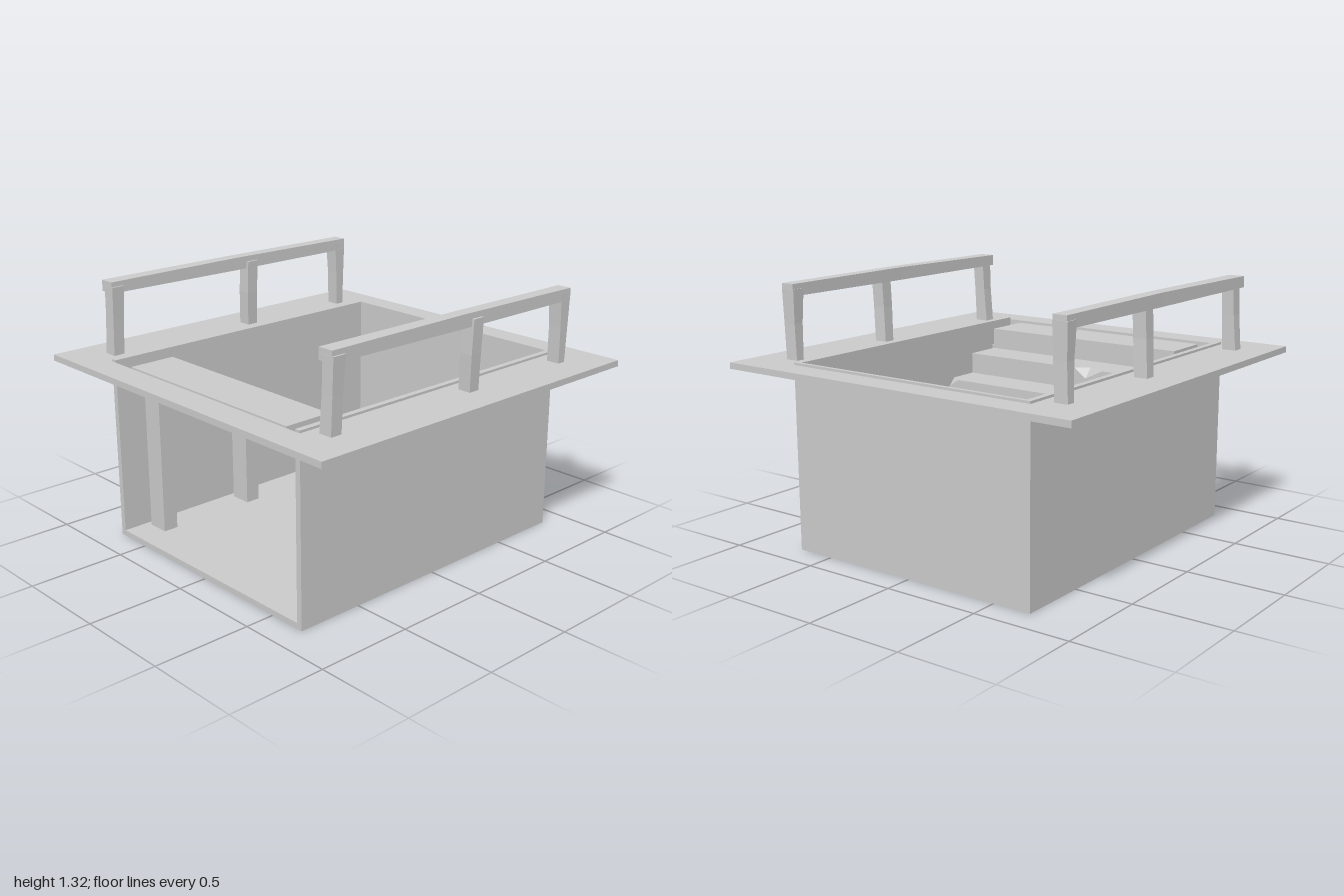
import * as THREE from 'three';

// Joins rings of [x, y, z] points; each ring runs counter-clockwise seen from the last section.
function loft(sections) {
  const pos = [];
  const tri = (a, b, c) => pos.push(...a, ...b, ...c);
  const n = sections[0].length;
  for (let s = 0; s < sections.length - 1; s++) {
    const p = sections[s], q = sections[s + 1];
    for (let j = 0; j < n; j++) {
      const k = (j + 1) % n;
      tri(p[j], p[k], q[k]);
      tri(p[j], q[k], q[j]);
    }
  }
  const first = sections[0], last = sections[sections.length - 1];
  for (let j = 1; j < n - 1; j++) {
    tri(last[0], last[j], last[j + 1]);
    tri(first[0], first[j + 1], first[j]);
  }
  const g = new THREE.BufferGeometry();
  g.setAttribute('position', new THREE.Float32BufferAttribute(pos, 3));
  g.computeVertexNormals();
  return g;
}

export function createModel() {
  const model = new THREE.Group();
  model.name = 'cellarStairwell';
  const grey = new THREE.MeshStandardMaterial({ color: 0xcccccc });
  grey.name = 'plainGrey';

  const add = (parent, name, geometry) => {
    const m = new THREE.Mesh(geometry, grey);
    m.name = name;
    parent.add(m);
    return m;
  };
  // Box given by its limits
  const box = (parent, name, x0, x1, y0, y1, z0, z1) =>
    add(parent, name, new THREE.BoxGeometry(x1 - x0, y1 - y0, z1 - z0)
      .translate((x0 + x1) / 2, (y0 + y1) / 2, (z0 + z1) / 2));

  // Pit lining, open at the top and front
  const pit = new THREE.Group();
  pit.name = 'pit';
  model.add(pit);
  box(pit, 'pitFloor', -0.7, 0.7, 0, 0.03, -0.86, 0.85);
  box(pit, 'backWall', -0.67, 0.67, 0.03, 0.95, -0.86, -0.84);
  for (const [name, a, b] of [['leftWall', 0.67, 0.7], ['rightWall', -0.7, -0.67]]) {
    box(pit, name, a, b, 0.03, 0.95, -0.86, 0.85);
  }

  // Ground slab with the stairwell opening
  const slab = new THREE.Shape([[-1, -1], [1, -1], [1, 1], [-1, 1]].map(p => new THREE.Vector2(...p)));
  slab.holes.push(new THREE.Path([[-0.7, -0.85], [-0.7, 0.86], [0.7, 0.86], [0.7, -0.85]]
    .map(p => new THREE.Vector2(...p))));
  add(model, 'groundSlab', new THREE.ExtrudeGeometry(slab, { depth: 0.032, bevelEnabled: false })
    .rotateX(-Math.PI / 2).translate(0, 0.906, 0));

  // Steps going down to the back, with a sloping underside; chips are [x, depth] on the nosing
  const stairs = new THREE.Group();
  stairs.name = 'stairs';
  model.add(stairs);
  const under = z => 0.82 + (z - 0.82) * 0.47;
  const chips = {
    1: [[-0.27, 0], [-0.17, 0.05], [-0.1, 0]],
    2: [[0.52, 0], [0.58, 0.04]],
    4: [[0.03, 0], [0.19, 0.05], [0.25, 0]],
    5: [[-0.58, 0.04], [-0.48, 0]],
    7: [[-0.38, 0], [-0.33, 0.055], [-0.28, 0]],
  };
  for (let i = 0; i < 8; i++) {
    const zf = i === 0 ? 0.82 : 0.77 - 0.2 * i;
    const zb = 0.57 - 0.2 * i;
    const top = 0.93 - 0.11 * i;
    const stations = [...(chips[i] || [])];
    if (!stations.some(s => s[0] === -0.58)) stations.unshift([-0.58, 0]);
    if (!stations.some(s => s[0] === 0.58)) stations.push([0.58, 0]);
    add(stairs, 'step' + (i + 1), loft(stations.map(([x, d]) => [
      [x, under(zf), zf], [x, under(zb), zb], [x, top - d, zb], [x, top, zb + d], [x, top, zf],
    ])));
  }

  // Timber props under both sides of the stairs
  for (const [z, top] of [[0.67, 0.825], [0.12, 0.53], [-0.43, 0.25]]) {
    for (const s of [-1, 1]) {
      // Inner part stops below the slope, outer part rises beside the steps
      const a = 0.52, b = 0.58, c = 0.637;
      const y = under(z);
      box(stairs, 'propInner', Math.min(s * a, s * b), Math.max(s * a, s * b), 0.03, y, z - 0.04, z + 0.04);
      box(stairs, 'propOuter', Math.min(s * b, s * c), Math.max(s * b, s * c), 0.03, top, z - 0.04, z + 0.04);
    }
  }

  // Rough-hewn handrail, repeated on each side
  const post = rows => loft(rows.map(([y, x0, x1, z0, z1]) =>
    [[x0, y, z1], [x1, y, z1], [x1, y, z0], [x0, y, z0]]));
  const bar = loft([
    [-0.785, -0.83, -0.757, 1.255, 1.315],
    [0, -0.832, -0.764, 1.253, 1.32],
    [0.785, -0.85, -0.768, 1.258, 1.315],
  ].map(([z, x0, x1, y0, y1]) => [[x0, y0, z], [x1, y0, z], [x1, y1, z], [x0, y1, z]]));
  const posts = [
    post([[0.935, -0.843, -0.77, 0.73, 0.79], [1.12, -0.83, -0.765, 0.725, 0.787], [1.29, -0.825, -0.758, 0.718, 0.787]]),
    post([[0.935, -0.835, -0.765, -0.135, -0.075], [1.12, -0.825, -0.755, -0.132, -0.068], [1.29, -0.82, -0.75, -0.138, -0.072]]),
    post([[0.935, -0.835, -0.765, -0.78, -0.735], [1.12, -0.83, -0.76, -0.782, -0.728], [1.29, -0.835, -0.757, -0.787, -0.718]]),
  ];
  for (const [name, x] of [['rightRailing', 0], ['leftRailing', 1.598]]) {
    const rail = new THREE.Group();
    rail.name = name;
    rail.position.x = x;
    model.add(rail);
    add(rail, 'handrail', bar);
    posts.forEach(p => add(rail, 'railPost', p));
  }
  return model;
}
